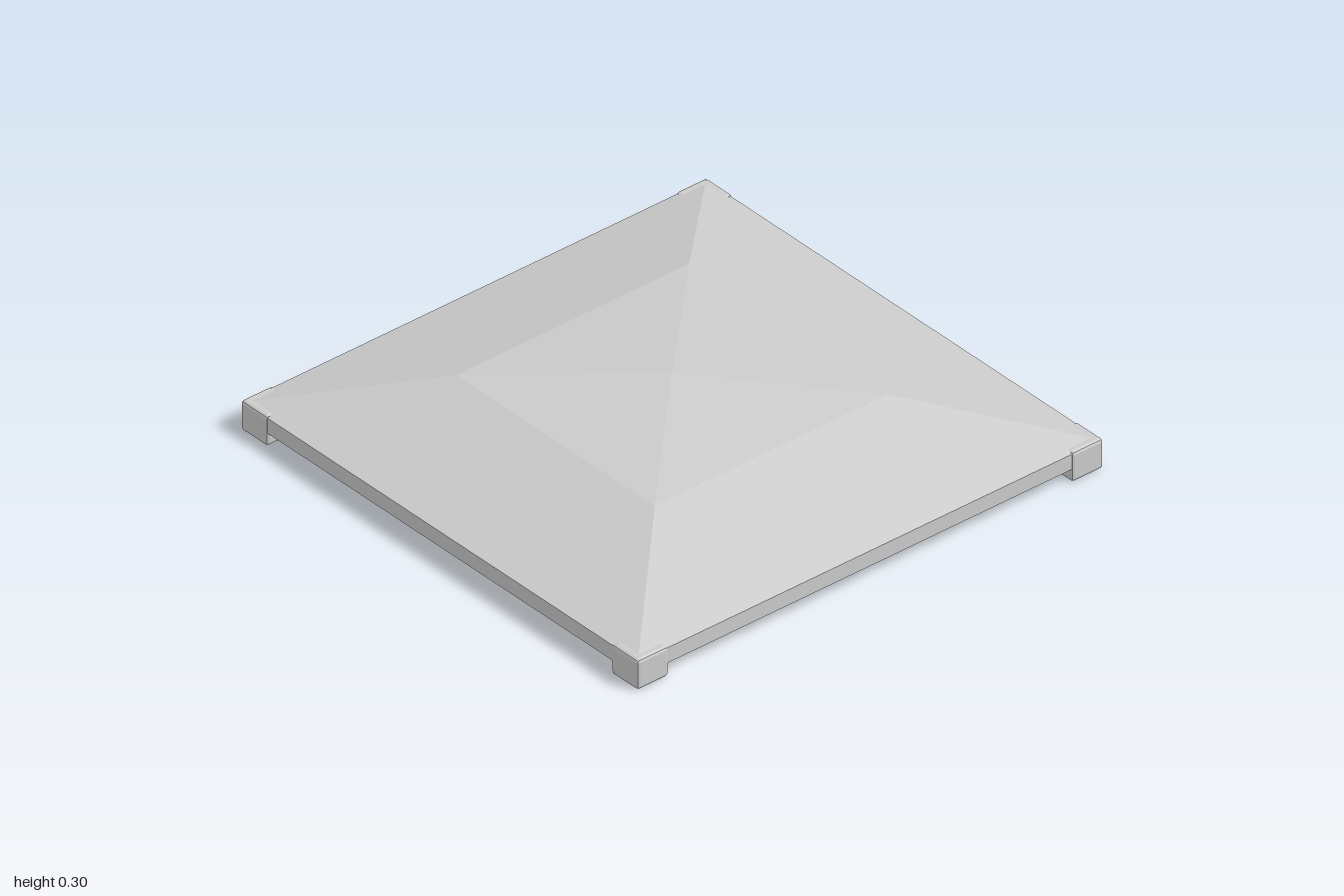
import * as THREE from 'three';
import { RoundedBoxGeometry } from 'three/addons/geometries/RoundedBoxGeometry.js';

export function createModel() {
  const model = new THREE.Group();
  model.name = 'canopyRoof';

  const material = new THREE.MeshStandardMaterial({ color: 0xcccccc, flatShading: true });

  // Square roof slab of even thickness: a steep lower slope and a shallow upper
  // slope, with the underside running parallel. Entries are [half width, height].
  const thickness = 0.06;
  const slope = [[0.995, 0.11], [0.5, 0.253], [0, 0.3]];
  const underside = slope.map(([half, y]) => [half, y - thickness]).reverse();
  const profile = [...underside, ...slope]
    .map(([half, y]) => new THREE.Vector2(half * Math.SQRT2, y));
  const roofGeometry = new THREE.LatheGeometry(profile, 4, Math.PI / 4).toNonIndexed();
  roofGeometry.computeVertexNormals();
  const roof = new THREE.Mesh(roofGeometry, material);
  roof.name = 'roof';
  model.add(roof);

  // Chamfered corner feet, their tops just breaking through the roof edge
  const size = 0.134, height = 0.117;
  const footGeometry = new RoundedBoxGeometry(size, height, size, 1, 0.012);
  for (const x of [-1, 1]) {
    for (const z of [-1, 1]) {
      const foot = new THREE.Mesh(footGeometry, material);
      foot.name = `${z > 0 ? 'front' : 'back'}${x > 0 ? 'Left' : 'Right'}Foot`;
      foot.position.set(x * (1 - size / 2), height / 2, z * (1 - size / 2));
      model.add(foot);
    }
  }

  return model;
}
